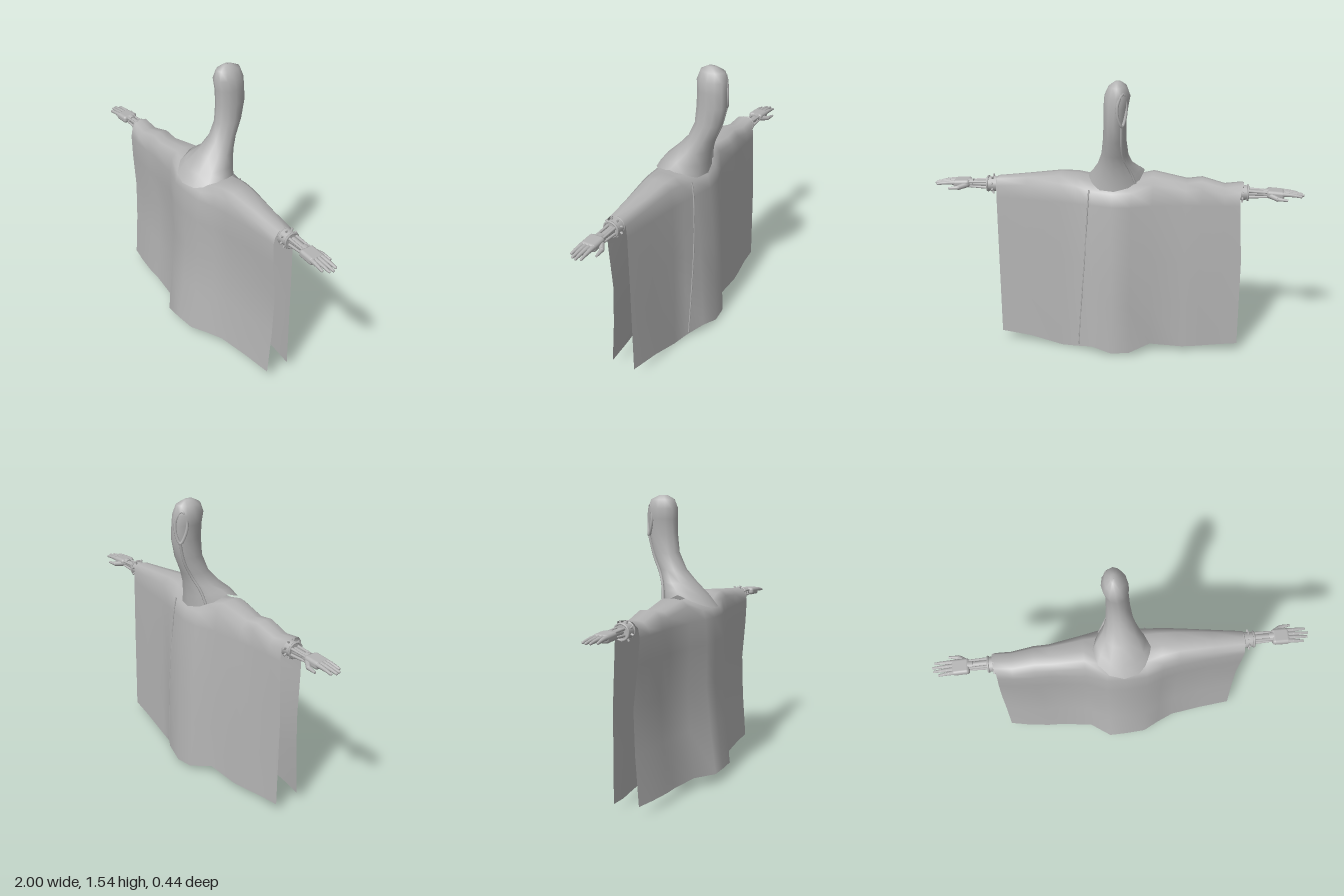
import * as THREE from 'three';
import { RoundedBoxGeometry } from 'three/addons/geometries/RoundedBoxGeometry.js';

const grey = new THREE.MeshStandardMaterial({ color: 0xb4b4b4, side: THREE.DoubleSide });
grey.name = 'plain grey';

function add(parent, geometry, name, x = 0, y = 0, z = 0) {
  const mesh = new THREE.Mesh(geometry, grey);
  mesh.name = name;
  mesh.position.set(x, y, z);
  parent.add(mesh);
  return mesh;
}

// Skin a list of equally long rows of [x, y, z] points
function skin(rows, closed = false) {
  const n = rows[0].length, index = [];
  for (let i = 0; i < rows.length - 1; i++) {
    for (let j = 0; j < (closed ? n : n - 1); j++) {
      const k = (j + 1) % n;
      const a = i * n + j, b = i * n + k, c = a + n, d = b + n;
      index.push(a, b, c, b, d, c);
    }
  }
  const g = new THREE.BufferGeometry();
  g.setAttribute('position', new THREE.Float32BufferAttribute(rows.flat(2), 3));
  g.setIndex(index);
  g.computeVertexNormals();
  return g;
}

// Cloth cross-section at one x: front hem, over the arm, back hem
function clothRow([x, ridge, frontTop, frontHem, backTop, backHem, hemY]) {
  const frontMid = (frontTop + frontHem) / 2 - 0.026;
  const backMid = (backTop + backHem) / 2;
  const edge = x < -0.6 ? 0.02 : 0;
  return [
    [x, 0.06, frontHem],
    [x, 0.32, (frontHem + frontMid) / 2 - 0.006],
    [x, 0.55, frontMid],
    [x + edge * 0.6, 0.77, (frontTop + frontMid) / 2 + 0.006],
    [x + edge, 0.9, frontTop],
    [x + edge, ridge - 0.035, frontTop * 0.9],
    [x + edge * 0.5, ridge - 0.007, frontTop * 0.62],
    [x + edge * 0.3, ridge, frontTop * 0.2],
    [x + edge * 0.3, ridge - 0.006, backTop * 0.45],
    [x + edge, ridge - 0.04, backTop * 0.88],
    [x + edge, 0.87, backTop],
    [x, 0.55, backMid],
    [x, 0.3, (backMid + backHem) / 2],
    [x, hemY, backHem],
  ];
}

// One hood ring: y, centre x, centre z, half width, half depth, side slope, droop to front and back
function hoodRing([y, cx, cz, rx, rz, slope = 0, droop = 0]) {
  return Array.from({ length: 12 }, (_, i) => {
    const a = (i / 12) * Math.PI * 2;
    const dx = Math.sin(a) * rx, dz = Math.cos(a) * rz;
    return [cx + dx, y + dx * slope - Math.abs(dz) * droop, cz + dz];
  });
}

// Smooth cord through a few points
function cord(parent, name, points, radius, closed = false) {
  const curve = new THREE.CatmullRomCurve3(points.map((p) => new THREE.Vector3(...p)), closed);
  add(parent, new THREE.TubeGeometry(curve, 28, radius, 6, closed), name);
}

// Cylinder between two points
function rod(parent, name, from, to, r0, r1 = r0, sides = 8) {
  const a = new THREE.Vector3(...from), b = new THREE.Vector3(...to);
  const dir = b.clone().sub(a);
  const mesh = add(parent, new THREE.CylinderGeometry(r1, r0, dir.length(), sides), name);
  mesh.position.copy(a).lerp(b, 0.5);
  mesh.quaternion.setFromUnitVectors(new THREE.Vector3(0, 1, 0), dir.normalize());
}

// Jointed hand with forearm rods and cuff, pointing along +x
function makeHand() {
  const hand = new THREE.Group();
  // cuff with rings and bolts
  rod(hand, 'cuff', [0.645, 0.928, 0.01], [0.705, 0.928, 0.01], 0.043, 0.038, 14);
  for (const x of [0.648, 0.703]) {
    const ring = add(hand, new THREE.TorusGeometry(0.04, 0.006, 6, 16), 'cuffRing', x, 0.928, 0.01);
    ring.rotation.y = Math.PI / 2;
  }
  for (let i = 0; i < 8; i++) {
    const a = (i / 8) * Math.PI * 2 + 0.3, c = Math.cos(a), s = Math.sin(a);
    rod(hand, 'cuffBolt', [0.675, 0.928 + 0.036 * c, 0.01 + 0.036 * s],
      [0.675, 0.928 + 0.054 * c, 0.01 + 0.054 * s], 0.006, 0.006, 6);
  }
  // forearm core and rods
  rod(hand, 'forearmCore', [0.7, 0.928, 0.005], [0.81, 0.928, 0.005], 0.021, 0.017, 10);
  for (const [y, z] of [[0.945, -0.016], [0.945, 0.026], [0.912, -0.016], [0.912, 0.026]]) {
    rod(hand, 'forearmRod', [0.7, y, z], [0.81, 0.928 + (y - 0.928) * 0.7, z], 0.008, 0.006);
  }
  rod(hand, 'wrist', [0.785, 0.929, 0.005], [0.812, 0.929, 0.005], 0.024, 0.026, 12);
  // palm
  const palm = add(hand, new RoundedBoxGeometry(0.095, 0.042, 0.084, 2, 0.016), 'palm', 0.848, 0.93, 0.011);
  palm.rotation.z = -0.06;
  // four close fingers of three segments
  for (const [z, spread, length] of [[-0.018, -0.004, 0.1], [0.002, 0, 0.113], [0.022, 0.001, 0.107], [0.04, 0.006, 0.082]]) {
    const at = (t) => [0.883 + length * t, 0.934 - 0.009 * t * t, z + spread * t];
    for (let i = 0; i < 3; i++) {
      rod(hand, 'fingerSegment', at(i / 3), at((i + 1) / 3), 0.013 - i * 0.002, 0.011 - i * 0.002);
      add(hand, new THREE.SphereGeometry(0.013 - i * 0.002, 8, 6), 'fingerJoint', ...at(i / 3));
    }
    add(hand, new THREE.SphereGeometry(0.007, 8, 6), 'fingerTip', ...at(0.98));
  }
  // thumb
  rod(hand, 'thumbBase', [0.82, 0.925, -0.018], [0.858, 0.917, -0.047], 0.016, 0.013);
  add(hand, new THREE.SphereGeometry(0.013, 8, 6), 'thumbJoint', 0.858, 0.917, -0.047);
  rod(hand, 'thumbEnd', [0.858, 0.917, -0.047], [0.912, 0.914, -0.055], 0.012, 0.006);
  return hand;
}

export function createModel() {
  const model = new THREE.Group();
  model.name = 'hoodedCloak';

  // Cloak: x, ridge y, front top z, front hem z, back top z, back hem z, back hem y
  const stations = [
    [-0.685, 0.982, 0.088, 0.085, -0.05, -0.058, 0.05],
    [-0.58, 0.967, 0.098, 0.105, -0.055, -0.066, 0.042],
    [-0.46, 1.0, 0.102, 0.12, -0.063, -0.088, 0.037],
    [-0.38, 0.988, 0.103, 0.122, -0.07, -0.1, 0.035],
    [-0.2, 1.022, 0.12, 0.145, -0.093, -0.113, 0.05],
    [-0.09, 0.987, 0.158, 0.222, -0.135, -0.18, 0.022],
    [0.01, 0.98, 0.163, 0.22, -0.143, -0.192, 0.018],
    [0.12, 0.982, 0.158, 0.212, -0.118, -0.172, 0.045],
    [0.21, 1.005, 0.128, 0.165, -0.1, -0.115, 0.012],
    [0.3, 1.01, 0.11, 0.125, -0.086, -0.092, 0.003],
    [0.48, 0.99, 0.09, 0.098, -0.065, -0.08, 0.045],
    [0.65, 0.972, 0.078, 0.08, -0.045, -0.056, 0.055],
  ];
  add(model, skin(stations.map(clothRow)), 'cloak');

  // Seam down the back of the cloak
  cord(model, 'backSeam', [[0.135, 0.95, -0.103], [0.14, 0.87, -0.116], [0.16, 0.55, -0.129],
    [0.18, 0.3, -0.128], [0.2, 0.03, -0.122]], 0.004);

  // Hood and collar in one skin, leaning back
  const rings = [
    [1.015, 0, 0.025, 0.152, 0.148, -0.12, 0.42],
    [1.045, -0.003, 0, 0.128, 0.126, -0.1, 0.24],
    [1.085, -0.001, -0.042, 0.094, 0.094],
    [1.15, -0.002, -0.081, 0.071, 0.075],
    [1.24, -0.005, -0.12, 0.061, 0.076],
    [1.34, -0.008, -0.135, 0.058, 0.084],
    [1.42, -0.013, -0.134, 0.063, 0.083],
    [1.475, -0.02, -0.13, 0.066, 0.084],
    [1.522, -0.022, -0.13, 0.047, 0.068],
    [1.543, -0.022, -0.126, 0.018, 0.026],
    [1.545, -0.022, -0.126, 0.001, 0.001],
  ];
  add(model, skin(rings.map(hoodRing), true), 'hood');

  // Folded lip round the gathered opening at the back of the hood
  cord(model, 'hoodLip', [[-0.053, 1.495, -0.188], [-0.03, 1.45, -0.21], [-0.03, 1.38, -0.213],
    [-0.05, 1.33, -0.2], [-0.066, 1.38, -0.178], [-0.068, 1.44, -0.17]], 0.008, true);
  cord(model, 'hoodFold', [[-0.048, 1.33, -0.2], [-0.045, 1.22, -0.172], [-0.055, 1.13, -0.13],
    [-0.085, 1.06, -0.1], [-0.11, 0.99, -0.085]], 0.007);

  // Hands, mirrored
  for (const side of [1, -1]) {
    const hand = makeHand();
    hand.name = side > 0 ? 'leftHand' : 'rightHand';
    hand.scale.x = side;
    model.add(hand);
  }
  return model;
}
